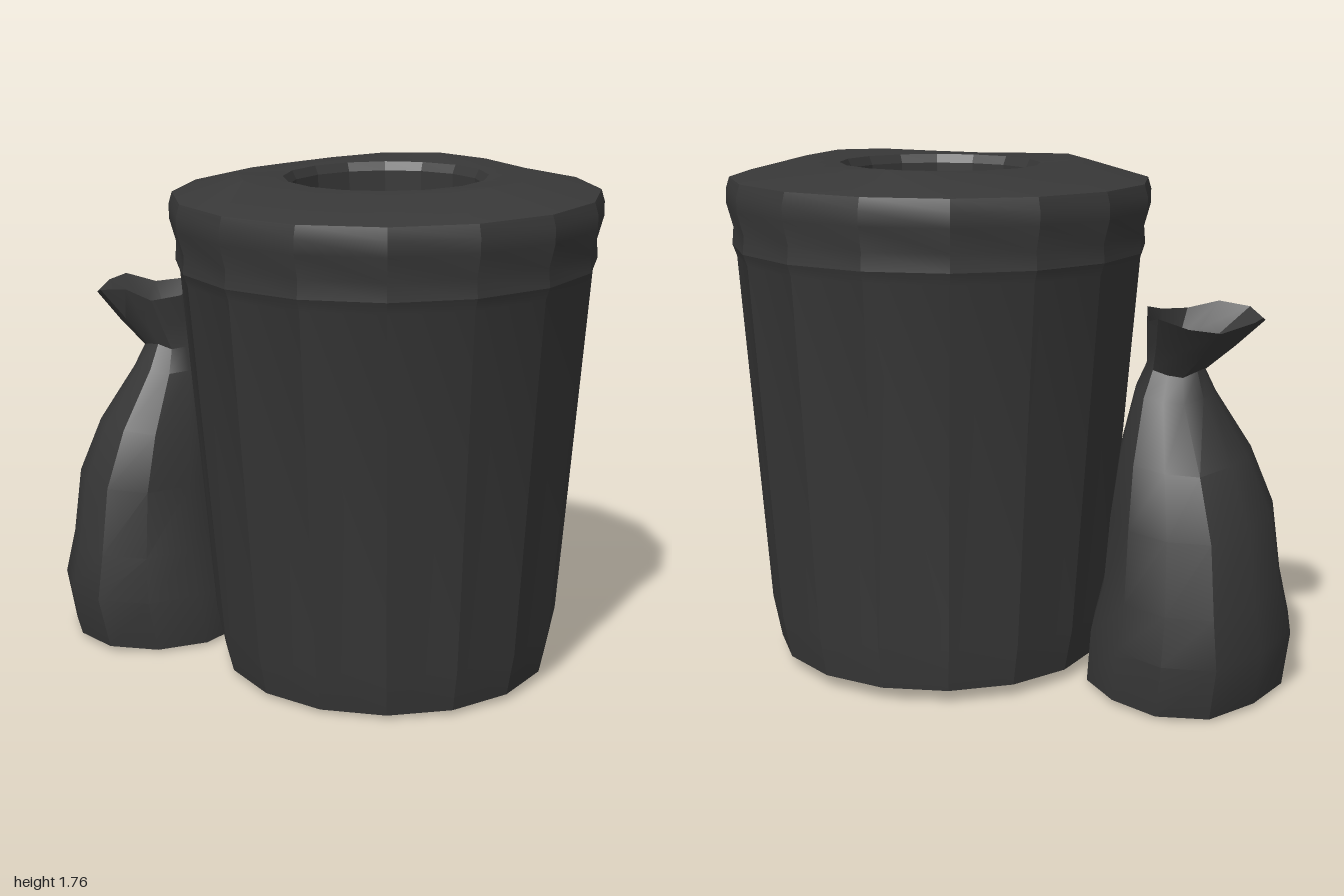
import * as THREE from 'three';
import { toCreasedNormals } from 'three/addons/utils/BufferGeometryUtils.js';

// Closed skin through elliptical rings: [y, centre x, centre z, radius x, radius z, ripple]
function loft(rings, sides) {
  const pos = [], idx = [];
  rings.forEach(([y, cx, cz, rx, rz, ripple], r) => {
    for (let i = 0; i < sides; i++) {
      const a = (i / sides) * Math.PI * 2 + 0.12;
      const k = 1 + ripple * Math.sin(i * 2.4 + r * 0.4);
      pos.push(cx + Math.cos(a) * rx * k, y + ripple * 0.25 * Math.cos(i * 1.9), cz + Math.sin(a) * rz * k);
    }
  });
  for (let r = 0; r < rings.length - 1; r++) {
    for (let i = 0; i < sides; i++) {
      const a = r * sides + i, b = r * sides + (i + 1) % sides;
      idx.push(a, a + sides, b, b, a + sides, b + sides);
    }
  }
  const geo = new THREE.BufferGeometry();
  geo.setAttribute('position', new THREE.Float32BufferAttribute(pos, 3));
  geo.setIndex(idx);
  return toCreasedNormals(geo, 0.6);
}

export function createModel() {
  const model = new THREE.Group();
  model.name = 'binAndBag';
  const plastic = new THREE.MeshStandardMaterial({ color: 0x383838, side: THREE.DoubleSide });
  plastic.name = 'darkPlastic';

  // Tapered bin with a rolled rim, domed lid and deep round opening
  const profile = [
    [0, 0], [0.575, 0], [0.605, 0.15], [0.7, 1.38], [0.715, 1.42], [0.71, 1.48],
    [0.732, 1.56], [0.732, 1.61], [0.72, 1.65], [0.5, 1.705], [0.345, 1.7],
    [0.33, 1.67], [0.325, 0.3], [0, 0.3],
  ].map(([x, y]) => new THREE.Vector2(x, y));
  const binGeo = new THREE.LatheGeometry(profile, 16, -0.08);
  // Slightly uneven lid
  const p = binGeo.attributes.position;
  for (let i = 0; i < p.count; i++) {
    const r = Math.hypot(p.getX(i), p.getZ(i));
    if (p.getY(i) > 1.68 && r > 0.4) {
      p.setY(i, p.getY(i) + 0.01 * Math.sin(3 * Math.atan2(p.getZ(i), p.getX(i))));
    }
  }
  const bin = new THREE.Mesh(toCreasedNormals(binGeo, 0.35), plastic);
  bin.name = 'bin';
  bin.position.set(0.265, 0.03, -0.05);
  bin.rotation.x = 0.033;
  model.add(bin);

  // Sagging tied bag with an open flared top
  const bag = new THREE.Mesh(loft([
    [0, -0.64, -0.15, 0.001, 0.001, 0],
    [0.012, -0.64, -0.15, 0.335, 0.41, 0.02],
    [0.2, -0.66, -0.15, 0.34, 0.45, 0.025],
    [0.36, -0.66, -0.15, 0.3, 0.42, 0.025],
    [0.6, -0.65, -0.14, 0.275, 0.385, 0.025],
    [0.8, -0.62, -0.13, 0.22, 0.31, 0.03],
    [1.0, -0.58, -0.12, 0.135, 0.175, 0.03],
    [1.08, -0.58, -0.12, 0.1, 0.115, 0.04],
    [1.17, -0.63, -0.14, 0.15, 0.155, 0.06],
    [1.27, -0.68, -0.17, 0.205, 0.21, 0.08],
    [1.18, -0.63, -0.14, 0.13, 0.135, 0.06],
    [1.09, -0.59, -0.12, 0.085, 0.095, 0.04],
    [1.05, -0.59, -0.12, 0.001, 0.001, 0],
  ], 12), plastic);
  bag.name = 'bag';
  model.add(bag);

  return model;
}
